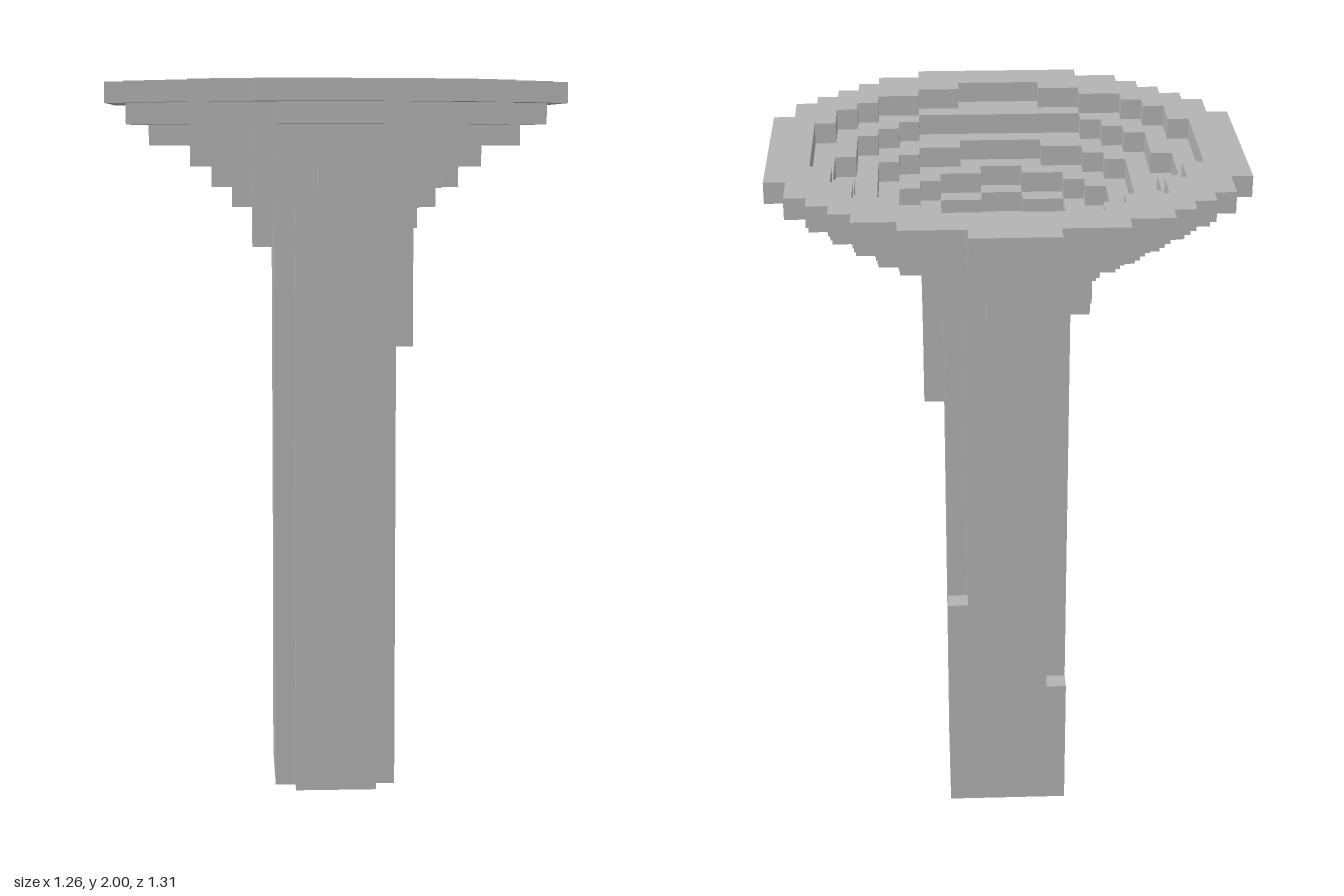
import * as THREE from 'three';

const ROWS = 35;          // block layers from foot to rim
const S = 2 / ROWS;       // block size
const ZC = 0.16;          // slight offset of the bowl rings along z

// Bowl rings from layer 28 up: [outer radius, hole radius] in blocks
const RINGS = [[4.3, 2.3], [4.6, 3.0], [6.0, 3.9], [7.3, 5.0], [8.7, 6.3], [10.3, 7.7], [11.41, 9.0]];
const BOWL_START = 28;

// x centres are half-integers, z centres are integers
function inBowl(x, y, z) {
  const ring = RINGS[y - BOWL_START];
  if (!ring) return false;
  const d = Math.hypot(x, z - ZC);
  return d < ring[0] && d >= ring[1];
}

// Hollow shaft with notched corners; two back corners are filled near the foot
function inStem(x, y, z) {
  const ax = Math.abs(x), az = Math.abs(z);
  if (y < 0 || y >= BOWL_START || ax > 2.5 || az > 3) return false;
  if (ax === 2.5 && az === 3) {
    if (z < 0) return y < (x > 0 ? 12 : 7);
    return x < 0 && y === 27;
  }
  const hollow = ax < 2 && az < 3 && !(ax === 1.5 && az === 2);
  return y === 27 || !hollow;
}

// Small lumps hanging under the bowl, one of them long
function inDrips(x, y, z) {
  if (x === 3.5) return (z === 0 && y >= 22 && y <= 27) || (z === -1 && y === 27);
  return x === -3.5 && y === 27 && (z === -1 || z === 0);
}

const solid = (x, y, z) => inBowl(x, y, z) || inStem(x, y, z) || inDrips(x, y, z);

// Face direction with its two in-plane axes (u x v = n)
const FACES = [];
for (let a = 0; a < 3; a++) {
  for (const s of [1, -1]) {
    const n = [0, 0, 0], u = [0, 0, 0], v = [0, 0, 0];
    n[a] = s;
    u[(a + 1) % 3] = s;
    v[(a + 2) % 3] = 1;
    FACES.push([n, u, v]);
  }
}

// Keep only the exposed block faces of one part
function blockGeometry(test) {
  const pos = [], nor = [];
  for (let y = 0; y < ROWS; y++) {
    for (let x = -11.5; x <= 11.5; x++) {
      for (let z = -12; z <= 12; z++) {
        if (!test(x, y, z)) continue;
        const c = [x, y + 0.5, z];
        for (const [n, u, v] of FACES) {
          if (solid(x + n[0], y + n[1], z + n[2])) continue;
          for (const [i, j] of [[-1, -1], [1, -1], [1, 1], [-1, -1], [1, 1], [-1, 1]]) {
            for (let k = 0; k < 3; k++) pos.push((c[k] + (n[k] + i * u[k] + j * v[k]) / 2) * S);
            nor.push(...n);
          }
        }
      }
    }
  }
  const g = new THREE.BufferGeometry();
  g.setAttribute('position', new THREE.Float32BufferAttribute(pos, 3));
  g.setAttribute('normal', new THREE.Float32BufferAttribute(nor, 3));
  return g;
}

export function createModel() {
  const group = new THREE.Group();
  group.name = 'blockFunnel';
  const grey = new THREE.MeshStandardMaterial({ color: 0xb3b3b3 });
  grey.name = 'grey';
  for (const [name, test] of [['bowl', inBowl], ['stem', inStem], ['drips', inDrips]]) {
    const mesh = new THREE.Mesh(blockGeometry(test), grey);
    mesh.name = name;
    group.add(mesh);
  }
  return group;
}
